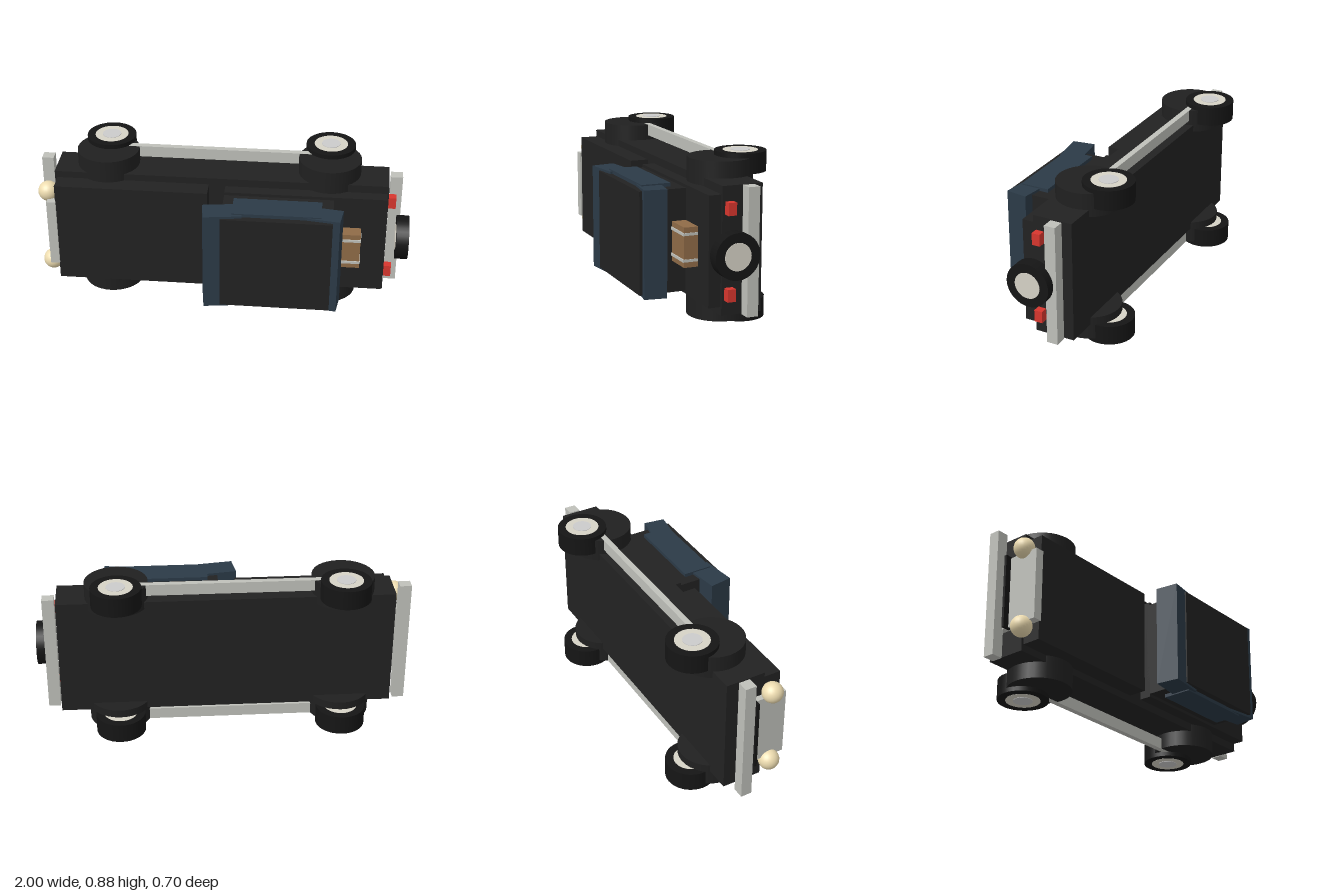
import * as THREE from 'three';

// The car lies on its side: nose to -x, its roof to +z, its width along y.
const MID = 0.44;
const paint = (color) => new THREE.MeshStandardMaterial({ color });

export function createModel() {
  const model = new THREE.Group();
  const mat = {
    body: paint(0x222222), fender: paint(0x202020), tire: paint(0x151515),
    glass: paint(0x2b3a47), chrome: paint(0xbfc0ba), rim: paint(0xd6d2c6),
    hub: paint(0xc8c8c4), lamp: paint(0xeddcb0), red: paint(0xd8362e),
    leather: paint(0x8f6b47),
  };

  const add = (name, geometry, material, x, y, z) => {
    const mesh = new THREE.Mesh(geometry, material);
    mesh.name = name;
    mesh.position.set(x, y, z);
    model.add(mesh);
    return mesh;
  };

  // Box from its limits along x and z, centred at y with the given width
  const box = (name, material, x0, x1, z0, z1, width, y = MID) =>
    add(name, new THREE.BoxGeometry(x1 - x0, width, z1 - z0), material,
      (x0 + x1) / 2, y, (z0 + z1) / 2);

  // Cylinder along y
  const drum = (name, material, r, width, x, y, z) =>
    add(name, new THREE.CylinderGeometry(r, r, width, 32), material, x, y, z);

  // Body shell
  box('chassis', mat.body, -0.91, 0.877, -0.185, 0.03, 0.65);
  box('hood', mat.body, -0.897, -0.078, 0.02, 0.13, 0.576);
  box('rearDeck', mat.body, 0.01, 0.868, 0.02, 0.096, 0.564);
  box('cabin', mat.body, 0.01, 0.59, 0.02, 0.346, 0.532);

  // Windows
  box('sideWindows', mat.glass, 0.066, 0.53, 0.154, 0.31, 0.57);
  const pane = (name, x, z, height, tilt) => {
    const p = add(name, new THREE.BoxGeometry(0.2, 0.557, height), mat.glass, x, MID, z);
    p.rotation.y = tilt;
  };
  pane('windshield', 0.013, 0.2746, 0.125, 0.14);
  pane('rearWindow', 0.536, 0.263, 0.118, -0.14);

  // Bumpers and grille
  box('frontBumper', mat.chrome, -1, -0.937, -0.135, -0.075, 0.69);
  box('rearBumper', mat.chrome, 0.886, 0.95, -0.135, -0.075, 0.65);
  box('grille', mat.chrome, -0.943, -0.894, -0.1, 0.14, 0.386);
  box('grilleBar', mat.tire, -0.976, -0.928, -0.048, -0.034, 0.4);

  // Parts mirrored on both sides
  for (const s of [-1, 1]) {
    const y = (d) => MID + s * d;
    box('runningBoard', mat.chrome, -0.53, 0.46, -0.162, -0.13, 0.062, y(0.381));
    box('tailLight', mat.red, 0.87, 0.918, -0.029, 0.015, 0.064, y(0.216));
    add('headlight', new THREE.SphereGeometry(0.055, 24, 16), mat.lamp, -0.945, y(0.217), 0.058);
    for (const x of [-0.635, 0.56]) {
      drum('fender', mat.fender, 0.167, 0.125, x, y(0.348), -0.103);
      drum('tire', mat.tire, 0.133, 0.105, x, y(0.382), -0.216);
      drum('rim', mat.rim, 0.09, 0.107, x, y(0.382), -0.216);
      drum('hub', mat.hub, 0.05, 0.112, x, y(0.382), -0.216);
    }
  }

  // Spare wheel at the back
  const spare = (name, material, r, x0, x1) => {
    drum(name, material, r, x1 - x0, (x0 + x1) / 2, MID, 0).rotation.z = Math.PI / 2;
  };
  spare('spareTire', mat.tire, 0.118, 0.93, 0.997);
  spare('spareRim', mat.rim, 0.07, 0.927, 1);

  // Luggage trunk with two straps
  box('trunk', mat.leather, 0.55, 0.74, 0.09, 0.17, 0.204);
  for (const y of [0.373, 0.507]) {
    box('trunkStrap', mat.chrome, 0.55, 0.743, 0.09, 0.176, 0.014, y);
  }

  return model;
}
